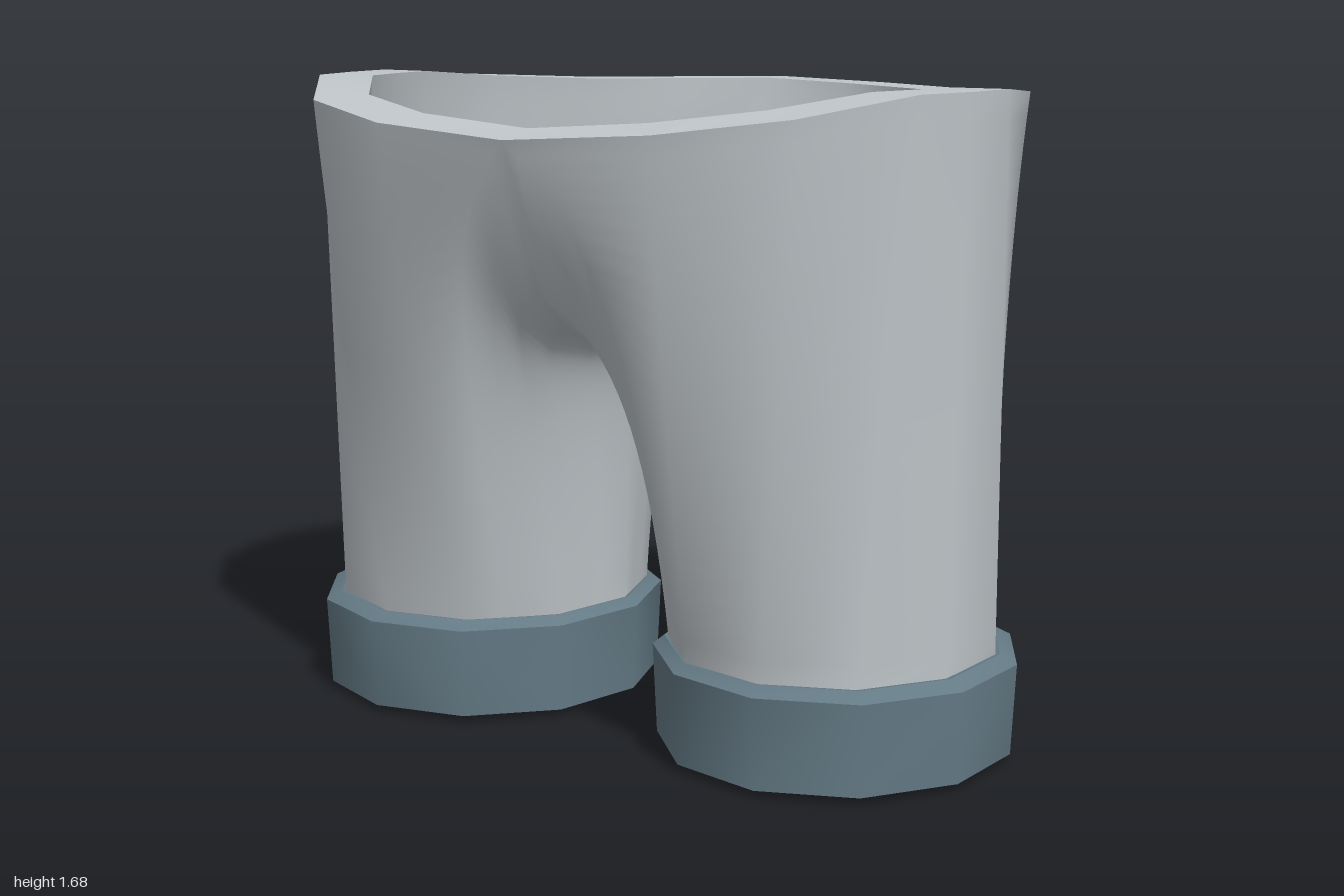
import * as THREE from 'three';
import { mergeGeometries, mergeVertices } from 'three/addons/utils/BufferGeometryUtils.js';

const SIDES = 11;   // corners of each leg and cuff
const STEPS = 20;   // rows up each leg column

// Waist edge of the left half, from beside the front centre round to the back
const WAIST = [
  [0.40, 1.59, 0.64], [0.71, 1.63, 0.52], [0.90, 1.68, 0.28], [0.945, 1.68, 0.10],
  [0.96, 1.68, -0.06], [0.89, 1.66, -0.34], [0.61, 1.65, -0.55], [0.31, 1.655, -0.645],
];
// Centre seam from the back waist, under the crotch, to the front waist
const SEAM = [
  [0, 1.662, -0.67], [0, 1.38, -0.565], [0, 1.2, -0.48], [0, 1.1, -0.39], [0, 1.035, -0.22],
  [0, 1.0, 0], [0, 1.025, 0.22], [0, 1.08, 0.4], [0, 1.18, 0.52], [0, 1.37, 0.595], [0, 1.565, 0.665],
];

const vec = (p) => new THREE.Vector3(...p);

// Point on an eleven-sided ring; k = 0 points to the inner thigh, rising towards the front
function ringPoint(k, cx, r, y) {
  const corner = (i) => {
    const a = Math.PI + 0.06 - (i * 2 * Math.PI) / SIDES;
    return new THREE.Vector3(cx + r * Math.cos(a), y, 1.04 * r * Math.sin(a));
  };
  const i = Math.floor(k);
  return corner(i).lerp(corner(i + 1), k - i);
}

// Surface through rows of points, closed around; flip turns it inside out
function loft(rows, flip = false) {
  const n = rows[0].length, index = [];
  for (let i = 0; i < rows.length - 1; i++) {
    for (let j = 0; j < n; j++) {
      const a = i * n + j, b = i * n + ((j + 1) % n), c = b + n, d = a + n;
      index.push(...(flip ? [a, c, b, a, d, c] : [a, b, c, a, c, d]));
    }
  }
  const g = new THREE.BufferGeometry().setFromPoints(rows.flat());
  g.setIndex(index);
  g.computeVertexNormals();
  return g;
}

const mirrorRows = (rows) => rows.map((row) => row.map((p) => new THREE.Vector3(-p.x, p.y, p.z)));

// How far up the seam a height lies, from crotch (0) to waist (1)
const seamHeight = (y) => Math.min(1, (y - 1) / 0.565);

// Edge points, scaled inwards for the lining
const liningRise = (z) => 0.06 * Math.max(0, z - 0.3);
const waistPoint = (p, inner) =>
  (inner ? new THREE.Vector3(p[0] * 0.835, p[1] + liningRise(p[2]), p[2] * 0.845) : vec(p));
const seamPoint = (p, inner) =>
  (inner ? new THREE.Vector3(0, p[1] + 0.04 * (1 - seamHeight(p[1])) + liningRise(p[2]), p[2] * 0.845) : vec(p));

// One half of the trousers: each column rises from the leg ring to the waist or centre seam
function halfRows(inner) {
  const r = inner ? 0.408 : 0.42, bottom = inner ? 0.17 : 0.26;
  const columns = [];
  WAIST.forEach((p, i) => {
    const start = ringPoint(2 + i, 0.54, r, bottom), end = waistPoint(p, inner);
    const f = 0.475 + (0.375 * p[2]) / 0.6;
    const c1 = start.clone().lerp(end, f / 2).setY(0.72);
    const c2 = start.clone().lerp(end, f).setY(1.25);
    columns.push(new THREE.CubicBezierCurve3(start, c1, c2, end));
  });
  SEAM.forEach((p, i) => {
    const start = ringPoint(9.4 + 0.32 * i, 0.54, r, bottom), end = seamPoint(p, inner);
    const w = seamHeight(p[1]);
    const c1 = start.clone().setY(bottom + (0.75 - 0.18 * w) * (end.y - bottom));
    c1.x -= 0.02;
    c1.z += (end.z - start.z) * (end.z > 0 ? 0.15 + 0.35 * w : 0.1 + 0.15 * w);
    const c2 = new THREE.Vector3(start.x * 0.95, end.y - 0.25 * w, end.z - 0.07 * w * Math.sign(end.z));
    columns.push(new THREE.CubicBezierCurve3(start, c1, c2, end));
  });
  return Array.from({ length: STEPS + 1 }, (_, i) => columns.map((c) => c.getPoint(i / STEPS)));
}

// Both halves welded along the centre seam so the shading runs across it
function shell(inner) {
  const rows = halfRows(inner);
  const halves = [loft(rows, inner), loft(mirrorRows(rows), !inner)];
  halves.forEach((g) => g.deleteAttribute('normal'));
  const g = mergeVertices(mergeGeometries(halves), 1e-4);
  g.computeVertexNormals();
  return g;
}

// Full waist outline, anticlockwise from the front centre
function waistLoop(inner) {
  const half = WAIST.map((p) => waistPoint(p, inner));
  const other = mirrorRows([half])[0].reverse();
  return [seamPoint(SEAM[SEAM.length - 1], inner), ...half, seamPoint(SEAM[0], inner), ...other];
}

// Cuff: bands with crisp edges between them, each smooth around the leg
function cuffGeometry(mirror) {
  const profile = [ // centre x, radius, height
    [0.54, 0.31, 0], [0.55, 0.455, 0.02], [0.55, 0.466, 0.255], [0.542, 0.43, 0.277],
    [0.54, 0.415, 0.275], [0.54, 0.415, 0.175], [0.53, 0.28, 0.17], [0.53, 0.28, 0.16],
    [0.54, 0.315, 0.13], [0.54, 0.31, 0],
  ];
  let rows = profile.map(([cx, r, y]) =>
    Array.from({ length: SIDES }, (_, k) => ringPoint(k, cx, r, y)));
  if (mirror) rows = mirrorRows(rows);
  return mergeGeometries(rows.slice(1).map((row, i) => loft([rows[i], row], mirror)));
}

export function createModel() {
  const fabric = new THREE.MeshStandardMaterial({ color: 0xbfc5c9 });
  fabric.name = 'light grey fabric';
  const trim = new THREE.MeshStandardMaterial({ color: 0x647a85 });
  trim.name = 'slate blue trim';

  const model = new THREE.Group();
  model.name = 'shorts';
  const add = (name, geometry, material) => {
    const mesh = new THREE.Mesh(geometry, material);
    mesh.name = name;
    model.add(mesh);
  };

  add('outerShell', shell(false), fabric);
  add('lining', shell(true), fabric);
  add('waistRim', loft([waistLoop(false), waistLoop(true)]), fabric);
  add('leftCuff', cuffGeometry(false), trim);
  add('rightCuff', cuffGeometry(true), trim);
  return model;
}
